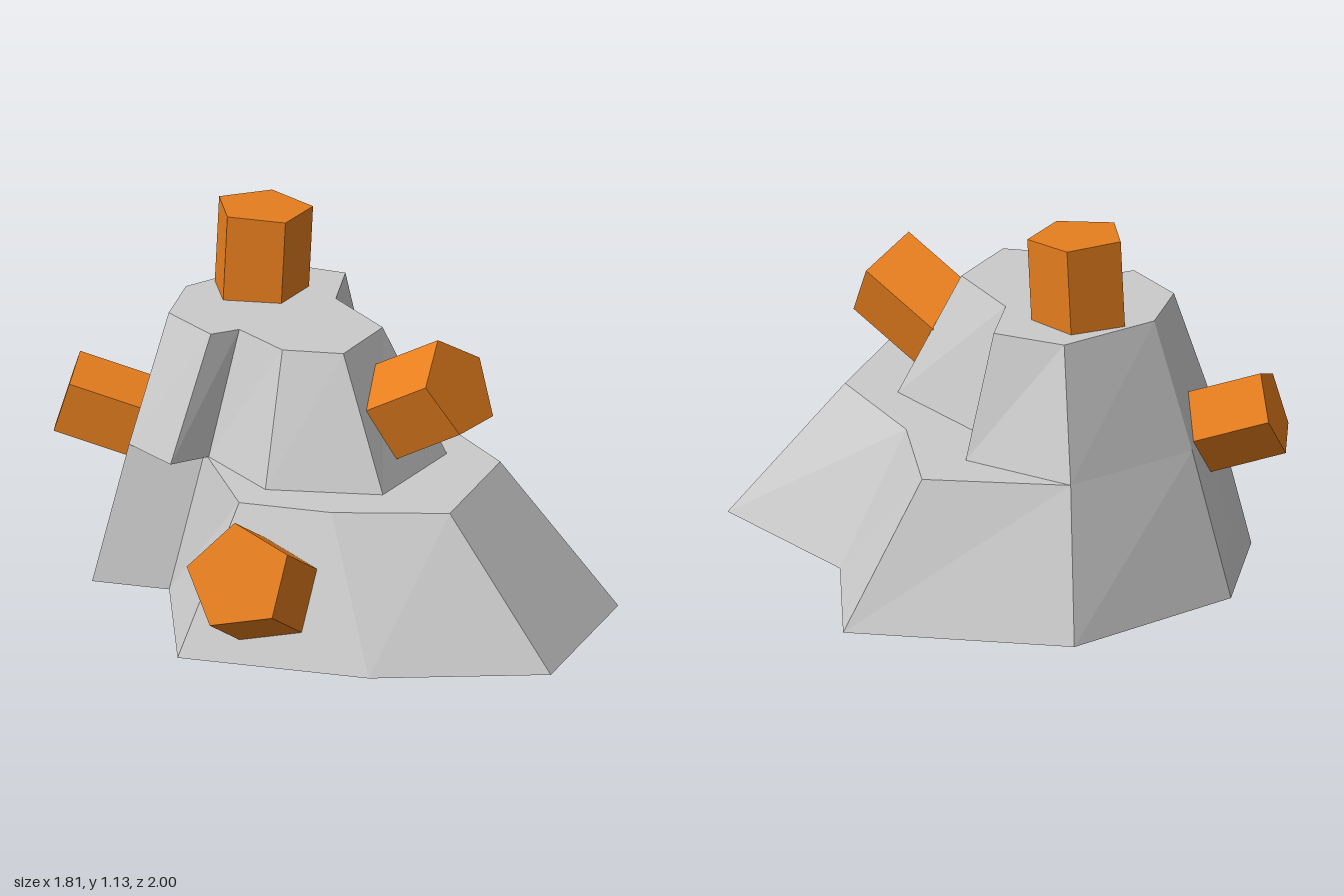
import * as THREE from 'three';

const rockMat = new THREE.MeshStandardMaterial({ color: 0xcccccc, flatShading: true });
const crystalMat = new THREE.MeshStandardMaterial({ color: 0xe67e1e, flatShading: true });

// Faceted tier between two outlines of [x, z] points, listed clockwise from above
function tier(name, base, top, y0, y1) {
  const pos = [];
  const b = base.map(([x, z]) => new THREE.Vector3(x, y0, z));
  const t = top.map(([x, z]) => new THREE.Vector3(x, y1, z));
  const tri = (...pts) => pts.forEach((p) => pos.push(p.x, p.y, p.z));

  // sloping walls
  for (let i = 0; i < b.length; i++) {
    const j = (i + 1) % b.length;
    tri(b[i], t[i], b[j]);
    tri(b[j], t[i], t[j]);
  }

  // flat caps, turned to face up or down
  const cap = (ring, dir) => {
    const flat = ring.map((p) => new THREE.Vector2(p.x, p.z));
    for (const [i, j, k] of THREE.ShapeUtils.triangulateShape(flat, [])) {
      const ny = -flat[j].clone().sub(flat[i]).cross(flat[k].clone().sub(flat[i]));
      if (ny * dir > 0) tri(ring[i], ring[j], ring[k]);
      else tri(ring[i], ring[k], ring[j]);
    }
  };
  cap(t, 1);
  cap(b, -1);

  const geo = new THREE.BufferGeometry();
  geo.setAttribute('position', new THREE.Float32BufferAttribute(pos, 3));
  geo.computeVertexNormals();
  const mesh = new THREE.Mesh(geo, rockMat);
  mesh.name = name;
  return mesh;
}

// Five-sided prism whose outer end is centred on tip and points along axis
function crystal(name, tip, axis, radius, roll, length = 0.3) {
  const geo = new THREE.CylinderGeometry(radius, radius, length, 5);
  geo.rotateX(Math.PI / 2);
  geo.rotateZ(THREE.MathUtils.degToRad(roll + 90));
  geo.translate(0, 0, -length / 2);
  const mesh = new THREE.Mesh(geo, crystalMat);
  mesh.name = name;
  mesh.position.set(...tip);
  mesh.lookAt(new THREE.Vector3(...axis).normalize().add(mesh.position));
  return mesh;
}

export function createModel() {
  const group = new THREE.Group();
  group.name = 'crystalRock';

  // broad lower rock
  group.add(tier('lowerRock',
    [[-0.505, -0.88], [0.21, -1], [0.41, -0.47], [0.905, -0.115], [0.905, 0.56],
      [0.38, 0.765], [-0.24, 0.765], [-0.46, 0.17], [-0.71, 0.17], [-0.815, -0.31]],
    [[-0.42, -0.675], [0.03, -0.78], [0.225, -0.38], [0.54, -0.06], [0.54, 0.445],
      [0.19, 0.55], [-0.11, 0.55], [-0.355, 0.14], [-0.6, 0.14], [-0.67, -0.26]],
    0, 0.45));

  // smaller upper rock
  group.add(tier('upperRock',
    [[-0.42, -0.675], [-0.04, -0.575], [0, -0.34], [0.36, -0.08], [0.29, 0.345],
      [-0.07, 0.41], [-0.33, 0.175], [-0.42, 0.28], [-0.6, 0.14], [-0.67, -0.26]],
    [[-0.345, -0.525], [-0.105, -0.5], [-0.06, -0.265], [0.16, -0.055], [0.12, 0.215],
      [-0.07, 0.24], [-0.255, 0.1], [-0.325, 0.17], [-0.51, 0.02], [-0.535, -0.23]],
    0.45, 0.85));

  // crystals growing out of the rock
  group.add(
    crystal('topCrystal', [-0.3, 1.12, -0.28], [0.05, 1, 0], 0.155, 8),
    crystal('frontCrystal', [0.01, 0.345, 0.93], [-0.03, 0.45, 0.89], 0.172, 103),
    crystal('rightCrystal', [-0.86, 0.53, -0.03], [-0.93, 0.3, 0.2], 0.14, 105),
    crystal('leftCrystal', [0.475, 0.757, 0.151], [0.86, 0.48, 0.25], 0.16, 92),
  );
  return group;
}
